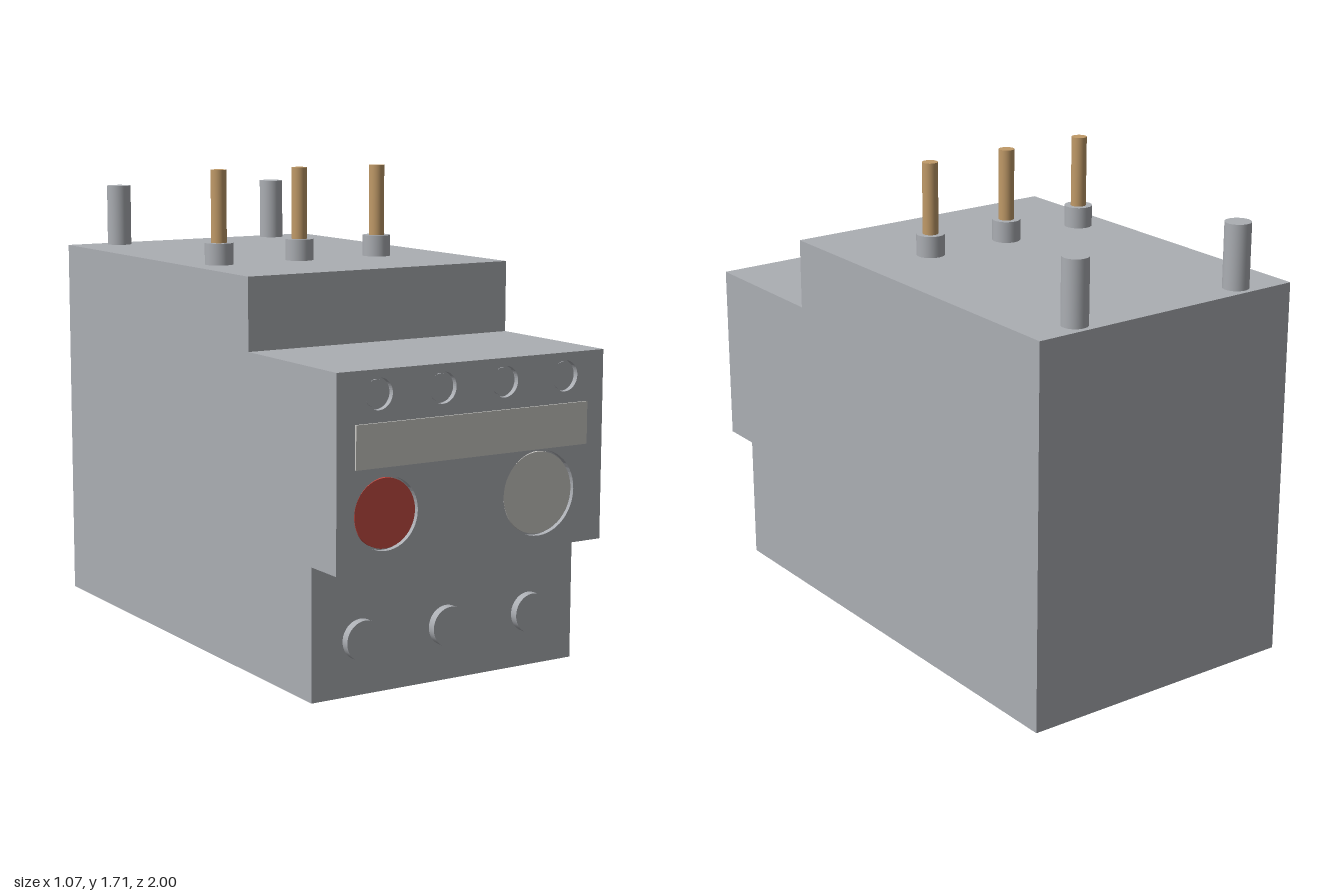
import * as THREE from 'three';

const mat = (name, color) => new THREE.MeshStandardMaterial({ name, color });

export function createModel() {
  const grey = mat('housing grey', 0xabaeb3);
  const cream = mat('cream', 0xc9c8c4);
  const red = mat('button red', 0xc64c43);
  const brass = mat('brass', 0xc09a68);

  const model = new THREE.Group();
  const add = (name, geometry, material, x = 0, y = 0, z = 0) => {
    const mesh = new THREE.Mesh(geometry, material);
    mesh.name = name;
    mesh.position.set(x, y, z);
    model.add(mesh);
    return mesh;
  };
  // Upright cylinder standing between two heights
  const post = (name, r, y0, y1, x, z, material) =>
    add(name, new THREE.CylinderGeometry(r, r, y1 - y0, 32), material, x, (y0 + y1) / 2, z);
  // Cylinder facing the front between two depths
  const disc = (name, r, z0, z1, x, y, material) => {
    const g = new THREE.CylinderGeometry(r, r, z1 - z0, 48).rotateX(Math.PI / 2);
    return add(name, g, material, x, y, (z0 + z1) / 2);
  };

  const W = 0.535, FRONT = 0.993, DEPTH = 0.02, TOP = 1.375;

  // Stepped housing: side profile (z, y) extruded across the width
  const profile = new THREE.Shape([
    [-1, 0], [0.84, 0], [0.84, 0.46], [FRONT - DEPTH, 0.46],
    [FRONT - DEPTH, 1.12], [0.43, 1.12], [0.43, TOP], [-1, TOP],
  ].map(([z, y]) => new THREE.Vector2(-z, y)));
  const body = new THREE.ExtrudeGeometry(profile, { depth: 2 * W, bevelEnabled: false });
  body.translate(0, 0, -W).rotateY(Math.PI / 2);
  add('housing', body, grey);

  // Control panel with round recesses
  const controls = [
    ['stopButton', -0.345, 0.646, 0.123, 0.117, 0.985, red],
    ['settingDial', 0.27, 0.648, 0.147, 0.141, 0.985, cream],
    ...[-0.375, -0.126, 0.123, 0.372].map((x) =>
      ['panelScrew', x, 1.04, 0.053, 0.046, 0.98, grey]),
  ];
  const panel = new THREE.Shape([
    [-W, 0.46], [W, 0.46], [W, 1.12], [-W, 1.12],
  ].map(([x, y]) => new THREE.Vector2(x, y)));
  for (const [, x, y, r] of controls) {
    panel.holes.push(new THREE.Path().absarc(x, y, r, 0, Math.PI * 2, true));
  }
  add('controlPanel', new THREE.ExtrudeGeometry(panel,
    { depth: DEPTH, bevelEnabled: false, curveSegments: 24 }), grey, 0, 0, FRONT - DEPTH);
  for (const [name, x, y, , r, z, material] of controls) {
    disc(name, r, FRONT - DEPTH - 0.005, z, x, y, material);
  }

  // Label strip
  add('labelStrip', new THREE.BoxGeometry(0.93, 0.147, 0.009), cream, 0, 0.8735, 0.9955);

  // Terminal screws on the lower front
  for (const x of [-0.345, 0, 0.345]) disc('terminalScrew', 0.07, 0.83, 0.87, x, 0.192, grey);

  // Brass contact pins in collars
  for (const x of [-0.41, -0.078, 0.255]) {
    post('pinCollar', 0.051, TOP - 0.01, 1.452, x, 0, grey);
    post('contactPin', 0.028, TOP, 1.71, x, 0, brass);
  }

  // Rear mounting posts
  for (const x of [-0.345, 0.345]) post('mountingPost', 0.046, TOP - 0.01, 1.605, x, -0.935, grey);

  return model;
}
